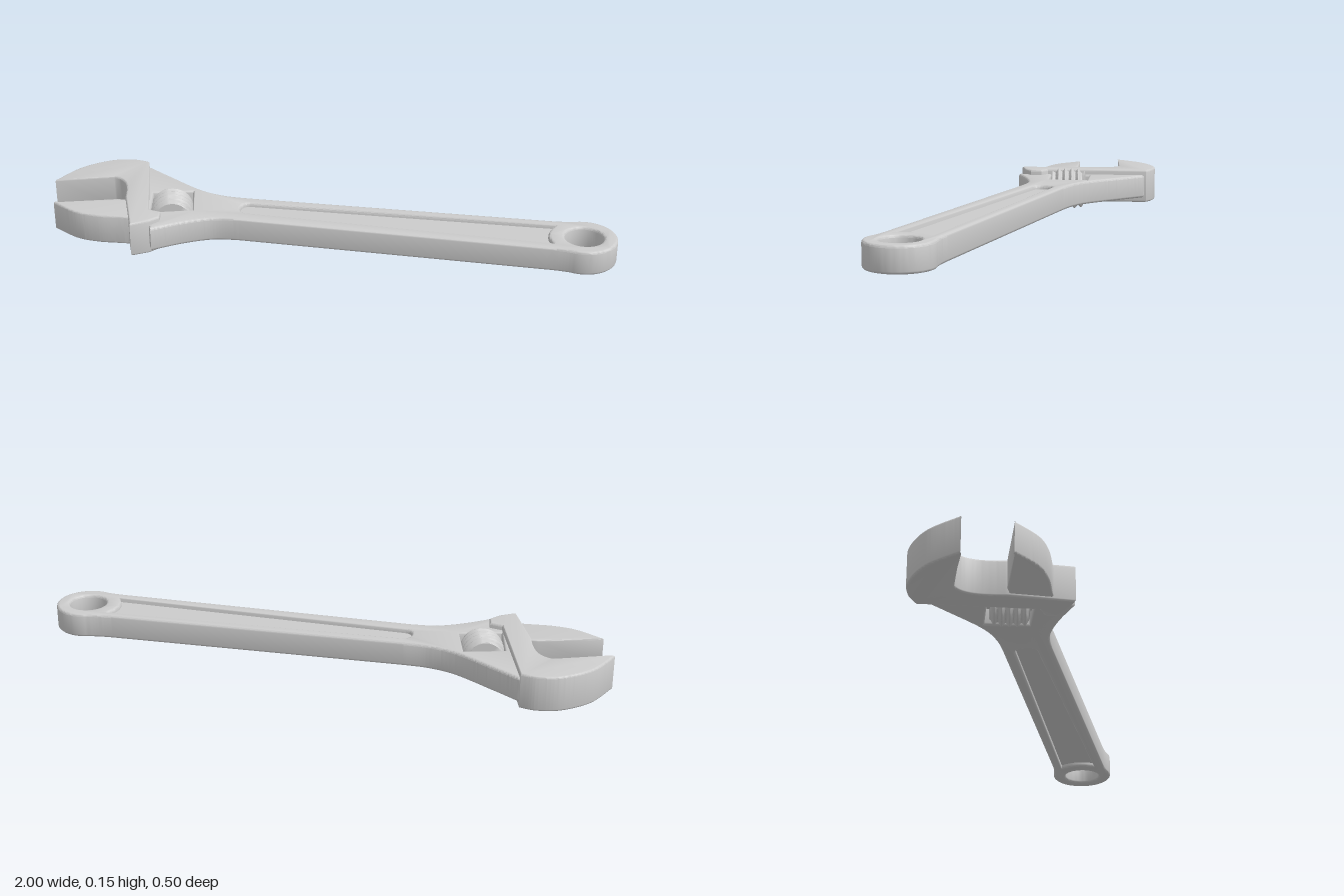
import * as THREE from 'three';
import { toCreasedNormals } from 'three/addons/utils/BufferGeometryUtils.js';

const MID = 0.0765; // height of the middle plane
const material = new THREE.MeshStandardMaterial({ color: 0xcccccc });

// Plan outline drawn in (x, z), thickened evenly about the middle plane
function slab(name, shape, half, bevel) {
  const geo = new THREE.ExtrudeGeometry(shape, {
    depth: 2 * (half - bevel), curveSegments: 24,
    bevelEnabled: bevel > 0, bevelThickness: bevel, bevelSize: bevel,
    bevelOffset: -bevel, bevelSegments: 3,
  });
  geo.rotateX(Math.PI / 2);
  geo.translate(0, MID + half - bevel, 0);
  return part(name, geo);
}

function part(name, geo) {
  const mesh = new THREE.Mesh(toCreasedNormals(geo, 0.6), material);
  mesh.name = name;
  return mesh;
}

const points = (list) => list.map(([x, z]) => new THREE.Vector2(x, z));

function recessOutline(path, grow) {
  path.moveTo(-0.275, -0.015 - grow);
  path.lineTo(0.785 + grow, -0.035 - grow);
  path.quadraticCurveTo(0.745 + grow, 0.03, 0.785 + grow, 0.092 + grow);
  path.lineTo(-0.275, 0.058 + grow);
  path.quadraticCurveTo(-0.305 - grow, 0.055, -0.305 - grow, 0.022);
  path.quadraticCurveTo(-0.305 - grow, -0.012, -0.275, -0.015 - grow);
  return path;
}

function makeHandle() {
  const s = new THREE.Shape();
  s.moveTo(-0.725, -0.235);
  s.lineTo(-0.7, -0.235);
  s.splineThru(points([[-0.61, -0.175], [-0.475, -0.09], [-0.38, -0.06], [-0.29, -0.055]]));
  s.lineTo(0.76, -0.068);
  s.quadraticCurveTo(0.81, -0.069, 0.848, -0.077);
  s.absarc(0.885, 0.03, 0.113, -1.9, 1.9, false);
  s.quadraticCurveTo(0.81, 0.13, 0.76, 0.13);
  s.lineTo(-0.29, 0.11);
  s.splineThru(points([[-0.38, 0.12], [-0.475, 0.165], [-0.572, 0.232]]));
  s.lineTo(-0.582, 0.21);
  s.lineTo(-0.62, 0.2);
  s.closePath();

  // Hanging hole, worm window and grip recess
  const ring = new THREE.Path();
  ring.absarc(0.885, 0.03, 0.066, 0, Math.PI * 2, true);
  const window = new THREE.Path(points([
    [-0.635, -0.035], [-0.607, 0.11], [-0.465, 0.068], [-0.5, -0.072], [-0.635, -0.035]]));
  s.holes.push(ring, window, recessOutline(new THREE.Path(), 0));
  return slab('handle', s, 0.0435, 0.009);
}

// Upper jaw, joined to the slide rail and its foot
function makeHead() {
  const s = new THREE.Shape();
  s.moveTo(-1, -0.035);
  s.splineThru(points([[-0.94, -0.155], [-0.85, -0.232], [-0.77, -0.253], [-0.71, -0.243]]));
  s.lineTo(-0.606, 0.125);
  s.lineTo(-0.562, 0.135);
  s.lineTo(-0.555, 0.175);
  s.lineTo(-0.585, 0.212);
  s.lineTo(-0.64, 0.245);
  s.lineTo(-0.715, 0.045);
  s.bezierCurveTo(-0.725, -0.01, -0.74, -0.09, -0.8, -0.1);
  s.closePath();
  return slab('upperJawAndRail', s, 0.0625, 0.007);
}

function makeLowerJaw() {
  const s = new THREE.Shape();
  s.moveTo(-0.955, 0.115);
  s.lineTo(-0.74, 0.05);
  s.lineTo(-0.69, 0.05);
  s.lineTo(-0.645, 0.178);
  s.splineThru(points([[-0.7, 0.182], [-0.78, 0.185], [-0.86, 0.17], [-0.955, 0.115]]));
  return slab('lowerJaw', s, 0.053, 0.006);
}

// Barrel with a helical thread pressed into its surface
function makeWorm() {
  const length = 0.125, pitch = 0.025;
  const geo = new THREE.CylinderGeometry(1, 1, length, 48, 60);
  const p = geo.attributes.position;
  for (let i = 0; i < p.count; i++) {
    const x = p.getX(i), y = p.getY(i), z = p.getZ(i);
    const turn = Math.atan2(x, z);
    const thread = 0.0705 + 0.006 * Math.cos((y / pitch) * Math.PI * 2 - turn);
    const r = thread * (1 - 0.16 * Math.pow((2 * y) / length, 4));
    p.setXYZ(i, x * r, y, z * r);
  }
  const worm = new THREE.Group();
  worm.name = 'adjustingWorm';
  worm.add(part('thread', geo));
  worm.add(part('pin', new THREE.CylinderGeometry(0.022, 0.022, 0.16, 24)));
  worm.rotation.set(Math.PI / 2, 0, -0.27);
  worm.position.set(-0.553, MID, 0.02);
  return worm;
}

export function createModel() {
  const group = new THREE.Group();
  group.name = 'adjustableWrench';
  group.add(
    makeHandle(),
    slab('recessFloor', recessOutline(new THREE.Shape(), 0.012), 0.028, 0),
    makeHead(),
    makeLowerJaw(),
    makeWorm(),
  );
  return group;
}
